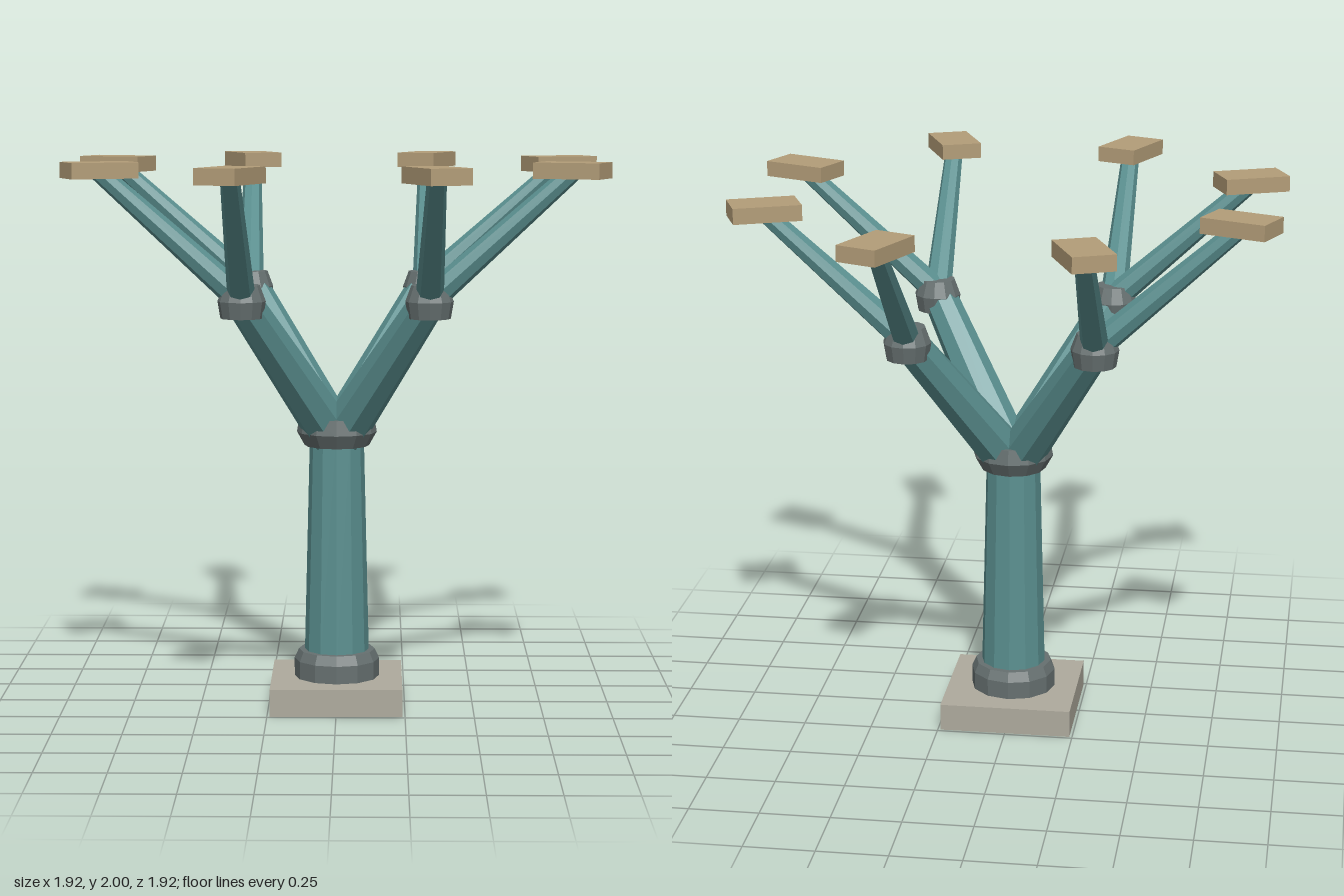
import * as THREE from 'three';

export function createModel() {
  const paint = (name, color) => {
    const m = new THREE.MeshStandardMaterial({ color, flatShading: true });
    m.name = name;
    return m;
  };
  const teal = paint('teal steel', 0x5a8f8f);
  const iron = paint('dark grey iron', 0x667070);
  const stone = paint('pale stone', 0xaeaa9d);
  const wood = paint('tan wood', 0xb39d78);

  const model = new THREE.Group();
  model.name = 'branchingStand';

  const add = (name, geometry, material, x = 0, y = 0, z = 0) => {
    const mesh = new THREE.Mesh(geometry, material);
    mesh.name = name;
    mesh.position.set(x, y, z);
    model.add(mesh);
    return mesh;
  };

  // Tapered faceted rod between two points
  const up = new THREE.Vector3(0, 1, 0);
  const rod = (name, from, to, r0, r1, sides) => {
    const dir = to.clone().sub(from);
    const mid = from.clone().add(to).multiplyScalar(0.5);
    const mesh = add(name, new THREE.CylinderGeometry(r1, r0, dir.length(), sides), teal, mid.x, mid.y, mid.z);
    mesh.quaternion.setFromUnitVectors(up, dir.normalize());
  };

  // Upright faceted collar turned from [radius, height] points, closed at both ends
  const collar = (name, profile, sides, x = 0, z = 0) => {
    const pts = [[0, profile[0][1]], ...profile, [0, profile[profile.length - 1][1]]];
    const geometry = new THREE.LatheGeometry(pts.map(([r, y]) => new THREE.Vector2(r, y)), sides);
    add(name, geometry, iron, x, 0, z);
  };

  // Base, trunk and its two collars
  add('basePlinth', new THREE.BoxGeometry(0.48, 0.1, 0.48), stone, 0, 0.05, 0);
  collar('baseCollar', [[0.156, 0.1], [0.156, 0.165], [0.14, 0.2]], 12);
  rod('trunk', new THREE.Vector3(0, 0.15, 0), new THREE.Vector3(0, 1.02, 0), 0.119, 0.098, 12);
  collar('crownCollar', [[0.118, 0.96], [0.146, 1.01], [0.136, 1.065]], 12);

  // Four main branches, each splitting into two arms that carry a platform
  const crown = new THREE.Vector3(0, 0.97, 0);
  for (let i = 0; i < 4; i++) {
    const a = Math.PI / 4 + (i * Math.PI) / 2;
    const joint = new THREE.Vector3(Math.cos(a) * 0.465, 1.52, Math.sin(a) * 0.465);
    rod('mainBranch', crown, joint, 0.088, 0.064, 8);
    collar('branchJoint', [[0.075, 1.455], [0.085, 1.515], [0.064, 1.572]], 12, joint.x, joint.z);

    for (const side of [-1, 1]) {
      const b = a + (side * Math.PI) / 8;
      const x = Math.cos(b) * 0.89, z = Math.sin(b) * 0.89;
      rod('upperArm', joint, new THREE.Vector3(x, 1.965, z), 0.05, 0.033, 8);
      const plate = add('platform', new THREE.BoxGeometry(0.24, 0.056, 0.15), wood, x, 1.972, z);
      plate.rotation.y = -b;
    }
  }
  return model;
}
